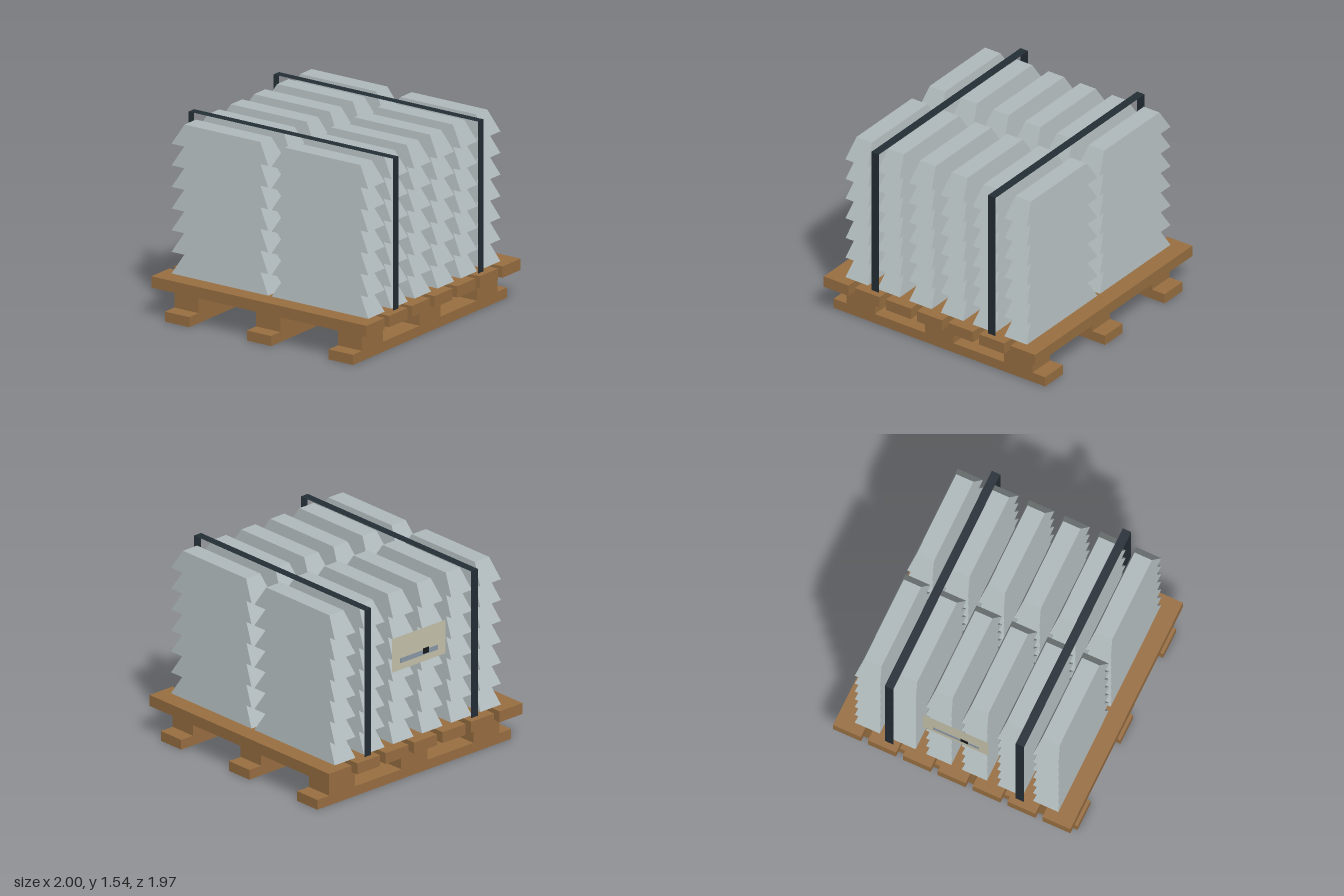
import * as THREE from 'three';

export function createModel() {
  const model = new THREE.Group();
  model.name = 'ingotPallet';

  const mat = (name, color, side = THREE.FrontSide) => {
    const m = new THREE.MeshStandardMaterial({ color, side });
    m.name = name;
    return m;
  };
  const wood = mat('wood', 0x9a7042);
  const metal = mat('ingotMetal', 0xb0babc);
  const strapping = mat('strapping', 0x242e36, THREE.DoubleSide);
  const paper = mat('labelPaper', 0xc8c4ae, THREE.DoubleSide);
  const blue = mat('labelBlue', 0x8c9aa8);
  const ink = mat('labelInk', 0x15181b);

  const add = (parent, name, geometry, material, x, y, z) => {
    const mesh = new THREE.Mesh(geometry, material);
    mesh.name = name;
    mesh.position.set(x, y, z);
    parent.add(mesh);
    return mesh;
  };
  const group = (name) => {
    const g = new THREE.Group();
    g.name = name;
    model.add(g);
    return g;
  };

  // Pallet: three runners, nine blocks and seven deck boards
  const pallet = group('pallet');
  const runner = new THREE.BoxGeometry(0.226, 0.08, 1.97);
  const block = new THREE.BoxGeometry(0.226, 0.165, 0.265);
  const board = new THREE.BoxGeometry(2, 0.09, 0.232);
  for (const x of [-0.76, 0, 0.76]) {
    add(pallet, 'runner', runner, wood, x, 0.04, 0);
    for (const z of [-0.734, 0, 0.734]) add(pallet, 'block', block, wood, x, 0.1625, z);
  }
  for (let i = -3; i <= 3; i++) add(pallet, 'deckBoard', board, wood, 0, 0.29, i * 0.2895);

  // Ingot: a box whose top is drawn in on all four sides
  const ingot = new THREE.BoxGeometry(0.898, 0.162, 0.21);
  const p = ingot.attributes.position;
  for (let i = 0; i < p.count; i++) {
    if (p.getY(i) > 0) {
      p.setX(i, Math.sign(p.getX(i)) * 0.352);
      p.setZ(i, Math.sign(p.getZ(i)) * 0.072);
    }
  }
  ingot.computeVertexNormals();

  // Stack: seven layers, six rows, two columns
  const stack = group('ingotStack');
  for (let layer = 0; layer < 7; layer++) {
    for (let row = 0; row < 6; row++) {
      for (const side of [-1, 1]) {
        add(stack, 'ingot', ingot, metal, side * 0.465, 0.417 + layer * 0.1715, (row - 2.5) * 0.296);
      }
    }
  }

  // Flat straps: one top run and two legs each
  const straps = group('straps');
  const run = new THREE.PlaneGeometry(1.9, 0.07).rotateX(-Math.PI / 2);
  const leg = new THREE.PlaneGeometry(0.07, 1.205).rotateY(Math.PI / 2);
  for (const z of [-0.543, 0.543]) {
    add(straps, 'strapTop', run, strapping, 0, 1.54, z);
    add(straps, 'strapLeg', leg, strapping, 0.95, 0.9375, z);
    add(straps, 'strapLeg', leg, strapping, -0.95, 0.9375, z);
  }

  // Shipping label on the right-hand side
  const label = group('label');
  const sheet = new THREE.PlaneGeometry(0.545, 0.276).rotateY(-Math.PI / 2);
  add(label, 'labelSheet', sheet, paper, -0.925, 1.068, 0);
  add(label, 'labelStripe', new THREE.BoxGeometry(0.004, 0.04, 0.38), blue, -0.925, 1.005, 0);
  add(label, 'labelMark', new THREE.BoxGeometry(0.008, 0.045, 0.06), ink, -0.925, 1.015, 0.07);

  return model;
}
